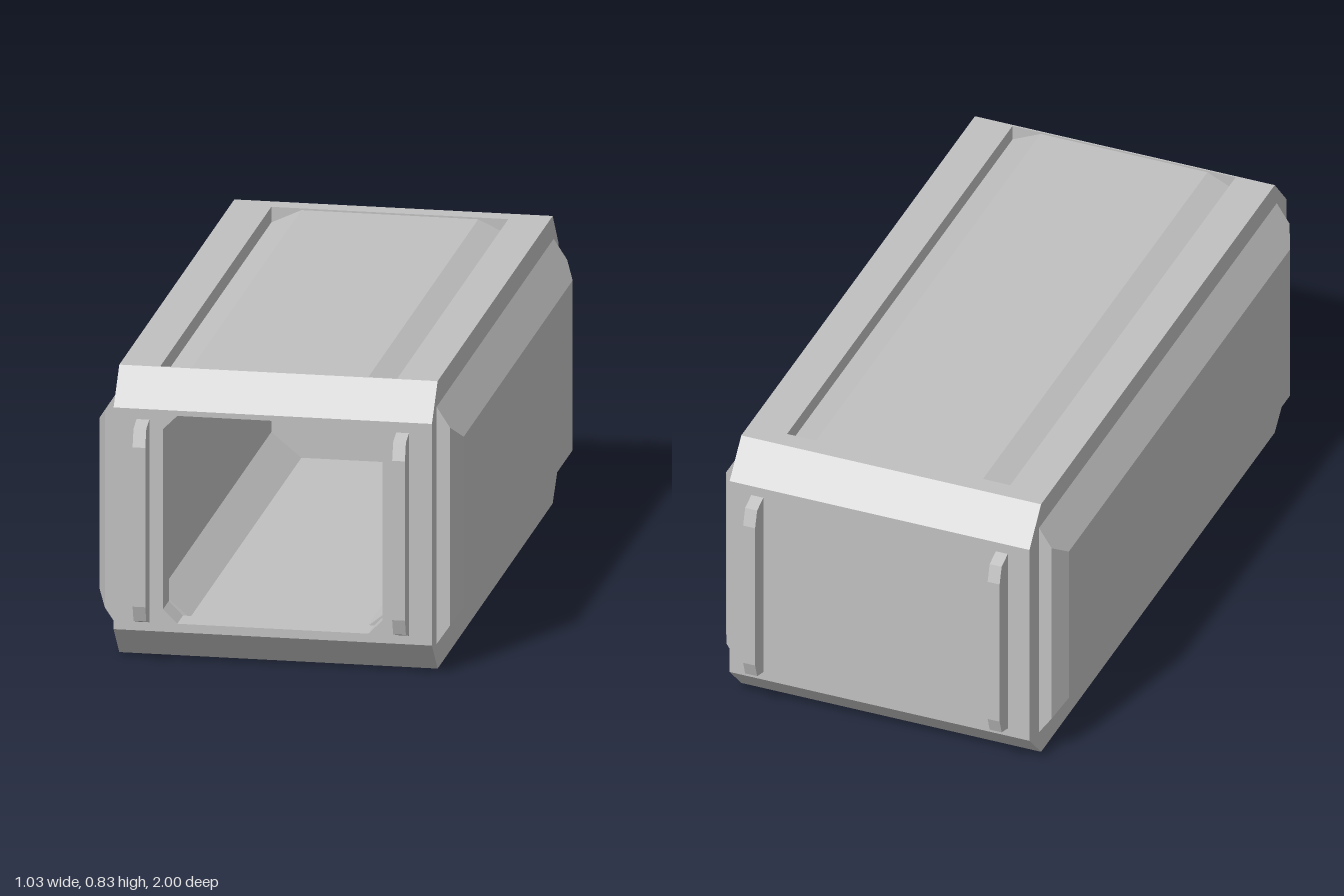
import * as THREE from 'three';
import { ConvexGeometry } from 'three/addons/geometries/ConvexGeometry.js';

const toShape = (pts) => new THREE.Shape(pts.map(([a, b]) => new THREE.Vector2(a, b)));

// Extrude an (x, y) outline from z0 to z1, with optional hole
function alongZ(pts, z0, z1, hole) {
  const shape = toShape(pts);
  if (hole) shape.holes.push(toShape(hole));
  return new THREE.ExtrudeGeometry(shape, { depth: z1 - z0, bevelEnabled: false }).translate(0, 0, z0);
}

// Extrude a (z, y) profile from x0 to x1
function alongX(pts, x0, x1) {
  return new THREE.ExtrudeGeometry(toShape(pts), { depth: x1 - x0, bevelEnabled: false })
    .rotateY(-Math.PI / 2).translate(x1, 0, 0);
}

export function createModel() {
  const model = new THREE.Group();
  model.name = 'container';
  const grey = new THREE.MeshStandardMaterial({ color: 0xc0c0c0 });
  grey.name = 'grey';
  const add = (name, geometry) => {
    const mesh = new THREE.Mesh(geometry, grey);
    mesh.name = name;
    model.add(mesh);
  };

  const W = 0.45, IN = 0.335, CREASE = 0.25; // half widths: body, chamber, inner crease
  const Z = 0.94, ZC = 0.855;                // end face and start of end chamfer
  const H = 0.83, Y0 = 0.09, Y1 = 0.73;      // height, lower and upper chamfer lines
  const BACK = -0.8;                         // rear end of chamber and lid recess

  // Solid side walls with chamfered ends
  const profile = [[-ZC, 0], [ZC, 0], [Z, Y0], [Z, Y1], [ZC, H], [-ZC, H], [-Z, Y1], [-Z, Y0]];
  add('leftWall', alongX(profile, IN, W));
  add('rightWall', alongX(profile, -W, -IN));

  // Floor, back wall and roof in one profile, with a shallow recess in the roof
  add('core', alongX([
    [-ZC, 0], [ZC, 0], [Z, Y0], [ZC, Y0], [ZC, 0.11], [BACK, 0.11], [BACK, 0.72], [ZC, 0.72],
    [ZC, Y1], [Z, Y1], [ZC, H], [0.85, H], [0.85, 0.785], [BACK, 0.785], [BACK, H],
    [-ZC, H], [-Z, Y1], [-Z, Y0],
  ], -IN, IN));

  // Front frame around the octagonal opening
  const ox = 0.31, oy0 = 0.115, oy1 = 0.715, c = 0.04;
  add('frontFrame', alongZ(
    [[-IN, Y0], [IN, Y0], [IN, Y1], [-IN, Y1]], ZC, Z,
    [[-ox + c, oy0], [ox - c, oy0], [ox, oy0 + c], [ox, oy1 - c],
      [ox - c, oy1], [-ox + c, oy1], [-ox, oy1 - c], [-ox, oy0 + c]]));

  // Lid with sides sloping down into the recess
  add('lid', alongZ([[-IN, 0.785], [IN, 0.785], [CREASE, 0.825], [-CREASE, 0.825]], BACK, 0.85));

  for (const s of [1, -1]) {
    const side = s > 0 ? 'left' : 'right';

    // Sloped corners inside the chamber
    add(side + 'FloorCorner', alongZ([[s * IN, 0.11], [s * IN, 0.18], [s * CREASE, 0.11]], BACK, ZC));
    add(side + 'CeilingCorner', alongZ([[s * IN, 0.72], [s * IN, 0.65], [s * CREASE, 0.72]], BACK, ZC));

    // Raised side panel with bevelled edges
    const pts = [];
    for (const e of [1, -1]) {
      for (const [x, y, z] of [
        [W, 0.075, 0.87], [W, 0.76, 0.87], [0.488, 0.1305, 0.87], [0.488, 0.7015, 0.87],
        [0.515, 0.17, 0.81], [0.515, 0.66, 0.81],
      ]) pts.push(new THREE.Vector3(s * x, y, e * z));
    }
    add(side + 'SidePanel', new ConvexGeometry(pts));

    // Upright grab bars on both ends
    for (const e of [1, -1]) {
      const bar = [[0.93, 0.115], [Z, 0.115], [0.985, 0.13], [1, 0.175],
        [1, 0.635], [0.985, 0.685], [Z, 0.70], [0.93, 0.70]].map(([z, y]) => [e * z, y]);
      add(side + (e > 0 ? 'Front' : 'Back') + 'Handle', alongX(bar, s * 0.367 - 0.018, s * 0.367 + 0.018));
    }
  }
  return model;
}
